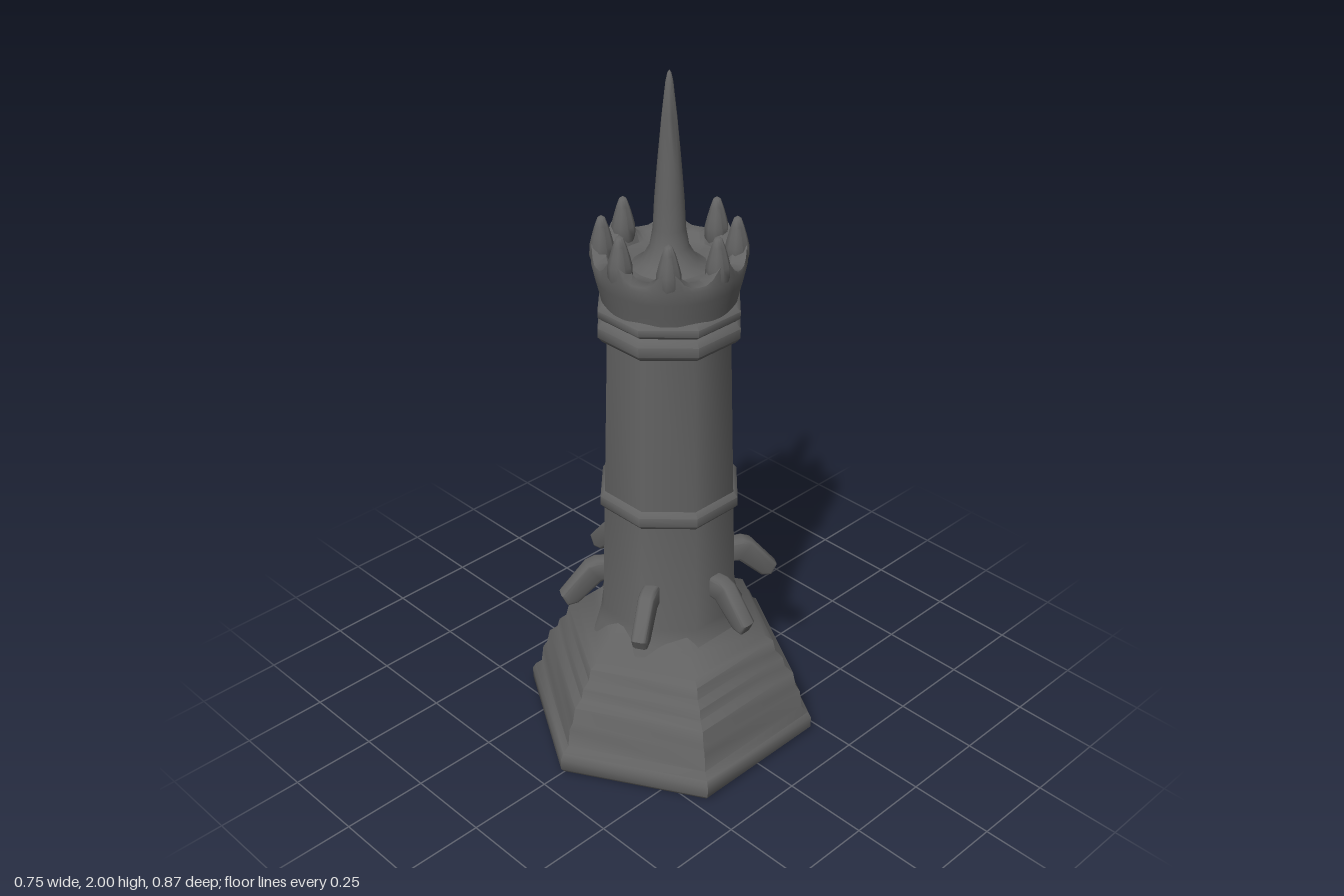
import * as THREE from 'three';
import { toCreasedNormals } from 'three/addons/utils/BufferGeometryUtils.js';

const material = new THREE.MeshStandardMaterial({ color: 0x626262 });

function addMesh(parent, name, geometry, crease = 0.9) {
  const mesh = new THREE.Mesh(toCreasedNormals(geometry, crease), material);
  mesh.name = name;
  parent.add(mesh);
  return mesh;
}

// Faceted or round turning from [radius, height] pairs, listed bottom to top
function turned(profile, sides, start = 0) {
  const points = profile.map(([r, y]) => new THREE.Vector2(r, y));
  return new THREE.LatheGeometry(points, sides, start, Math.PI * 2);
}

// Octagon with flats facing the axes; the profile gives flat distances
function octagonal(profile) {
  const k = 1 / Math.cos(Math.PI / 8);
  return turned(profile.map(([r, y]) => [r * k, y]), 8, Math.PI / 8);
}

export function createModel() {
  const tower = new THREE.Group();
  tower.name = 'tower';

  // Stepped hexagonal plinth, corners toward front and back
  addMesh(tower, 'plinth', turned([
    [0, 0], [0.422, 0], [0.435, 0.015], [0.435, 0.05], [0.425, 0.068],
    [0.405, 0.085], [0.398, 0.14], [0.385, 0.16], [0.375, 0.205],
    [0.35, 0.225], [0.342, 0.255], [0.32, 0.275], [0.312, 0.31],
    [0.285, 0.325], [0.235, 0.375], [0.2, 0.405], [0, 0.405],
  ], 6));

  // Tapering octagonal shaft, spreading where it meets the plinth
  addMesh(tower, 'shaft', octagonal([
    [0.215, 0.35], [0.198, 0.385], [0.188, 0.425], [0.178, 0.78], [0.16, 1.4],
  ]));

  // Rounded bands around the shaft: [height, flat distance, half thickness]
  const bands = [[0.79, 0.191, 0.033], [1.312, 0.189, 0.034], [1.366, 0.188, 0.024]];
  for (const [y, r, h] of bands) {
    addMesh(tower, 'band', octagonal([
      [0.155, y - h], [r - 0.014, y - h * 0.85], [r - 0.002, y - h * 0.4],
      [r - 0.002, y + h * 0.4], [r - 0.014, y + h * 0.85], [0.155, y + h],
    ]));
  }

  // Crown wall and deck; the rim rises to a point under each spike
  const crown = turned([
    [0.15, 1.375], [0.18, 1.382], [0.186, 1.41], [0.196, 1.45],
    [0.204, 1.488], [0.201, 1.5], [0.165, 1.5], [0.145, 1.48],
    [0.1, 1.475], [0, 1.475],
  ], 64);
  const pos = crown.attributes.position;
  for (let i = 0; i < pos.count; i++) {
    if (pos.getY(i) < 1.495) continue;
    const angle = Math.atan2(pos.getX(i), pos.getZ(i));
    pos.setY(i, 1.498 + 0.05 * ((1 + Math.cos(8 * angle)) / 2) ** 2);
  }
  addMesh(tower, 'crown', crown);

  // Eight crown spikes
  const spike = turned([
    [0.02, 1.46], [0.033, 1.5], [0.032, 1.53], [0.026, 1.555],
    [0.018, 1.583], [0.01, 1.605], [0, 1.612],
  ], 10);
  for (let i = 0; i < 8; i++) {
    const a = i * Math.PI / 4;
    const mesh = addMesh(tower, 'crownSpike', spike, 1.2);
    mesh.position.set(Math.sin(a) * 0.175, 0, Math.cos(a) * 0.175);
  }

  // Central spire flaring into the deck
  addMesh(tower, 'spire', turned([
    [0.11, 1.47], [0.075, 1.49], [0.052, 1.53], [0.043, 1.58], [0.039, 1.66],
    [0.031, 1.76], [0.02, 1.88], [0.01, 1.97], [0.005, 1.993], [0, 2],
  ], 16), 1.2);

  // Six bent brackets around the lower shaft
  const outline = new THREE.Shape([
    [0.15, 0.522], [0.207, 0.518], [0.276, 0.455], [0.299, 0.452],
    [0.31, 0.475], [0.238, 0.562], [0.215, 0.571], [0.15, 0.565],
  ].map(([x, y]) => new THREE.Vector2(x, y)));
  const bracket = new THREE.ExtrudeGeometry(outline, {
    depth: 0.026, bevelEnabled: true, bevelSize: 0.009, bevelThickness: 0.01, bevelSegments: 2,
  }).translate(0, 0, -0.013);
  for (let i = 0; i < 6; i++) {
    addMesh(tower, 'bracket', bracket).rotation.y = i * Math.PI / 3;
  }

  return tower;
}
